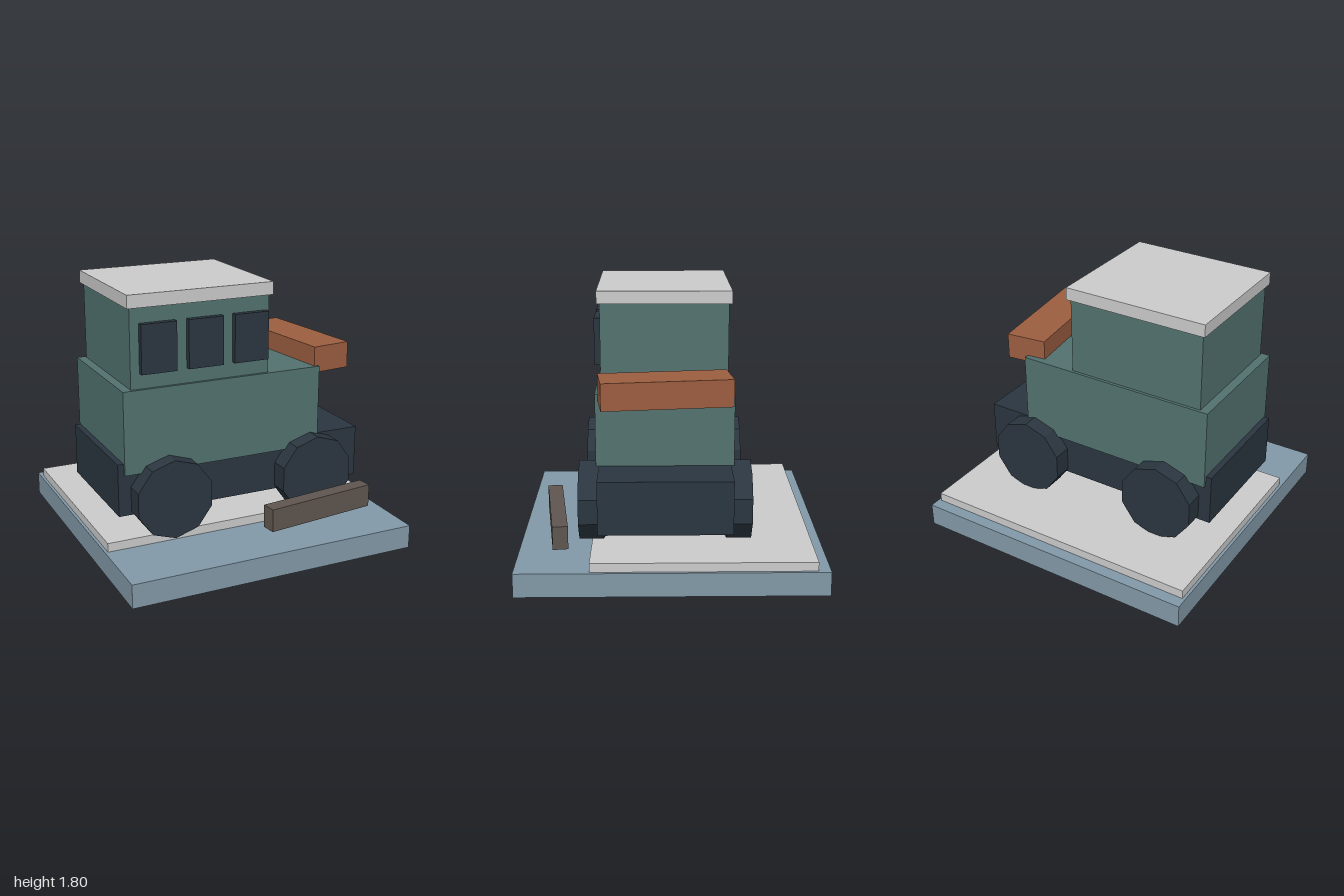
import * as THREE from 'three';

const mat = (color) => new THREE.MeshStandardMaterial({ color, flatShading: true });

export function createModel() {
  const model = new THREE.Group();
  model.name = 'locomotiveOnPlinth';

  const slate = mat(0x8299a8);
  const grey = mat(0xcccccc);
  const green = mat(0x52726f);
  const dark = mat(0x2b3640);
  const rust = mat(0x9c5e40);
  const wood = mat(0x5f5650);

  // Box from its size and centre, standing on height y
  function box(parent, name, material, [w, h, d], [x, y, z], turn = 0) {
    const mesh = new THREE.Mesh(new THREE.BoxGeometry(w, h, d), material);
    mesh.name = name;
    mesh.position.set(x, y + h / 2, z);
    mesh.rotation.y = turn;
    parent.add(mesh);
    return mesh;
  }

  // Ground
  box(model, 'plinth', slate, [2, 0.16, 2], [0, 0, 0]);
  box(model, 'platform', grey, [1.96, 0.06, 1.44], [0, 0.16, -0.2]);

  // Vehicle, set slightly forward of the plinth centre
  const vehicle = new THREE.Group();
  vehicle.name = 'vehicle';
  vehicle.position.z = 0.04;
  model.add(vehicle);

  box(vehicle, 'chassis', dark, [1.76, 0.355, 0.86], [0, 0.365, 0]);
  box(vehicle, 'body', green, [1.4, 0.555, 0.9], [-0.14, 0.645, 0]);
  box(vehicle, 'cab', green, [0.96, 0.52, 0.86], [-0.3, 1.2, 0]);
  box(vehicle, 'roof', grey, [1, 0.085, 0.9], [-0.3, 1.72, 0]);

  // Three windows on the front side only
  for (const x of [-0.6, -0.28, 0.04]) {
    box(vehicle, 'window', dark, [0.24, 0.32, 0.04], [x, 1.3, 0.45]);
  }

  // Ten-sided wheels
  const wheelGeometry = new THREE.CylinderGeometry(0.268, 0.268, 0.16, 10).rotateX(Math.PI / 2);
  for (const x of [-0.54, 0.5]) {
    for (const side of [1, -1]) {
      const wheel = new THREE.Mesh(wheelGeometry, dark);
      wheel.name = 'wheel';
      wheel.position.set(x, 0.473, side * 0.48);
      vehicle.add(wheel);
    }
  }

  // Skewed beam over the bonnet, and a loose plank beside the wheels
  box(vehicle, 'beam', rust, [0.28, 0.178, 0.84], [0.618, 1.153, 0], 0.12);
  box(model, 'plank', wood, [0.8, 0.155, 0.1], [0.417, 0.245, 0.76], 0.125);

  return model;
}
